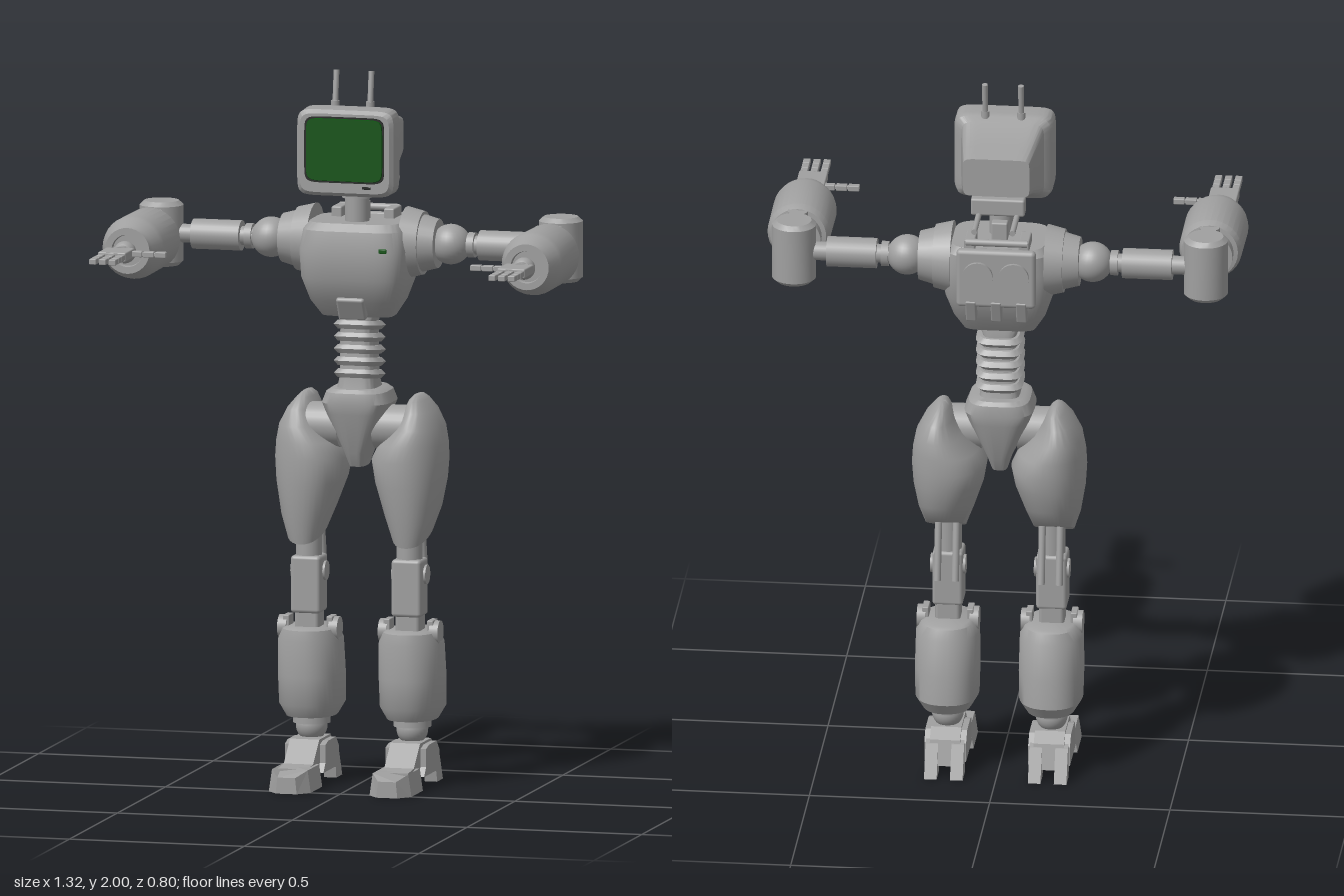
import * as THREE from 'three';
import { toCreasedNormals } from 'three/addons/utils/BufferGeometryUtils.js';
import { RoundedBoxGeometry } from 'three/addons/geometries/RoundedBoxGeometry.js';

const mat = (name, color) => Object.assign(new THREE.MeshStandardMaterial({ color }), { name });

// Closed loft of superellipse rings [y, x0, x1, z0, z1, slope in z], bottom to top
function loft(rings, n = 2, seg = 32, crease = 0.6) {
  const pos = [], idx = [];
  const pw = v => Math.sign(v) * Math.pow(Math.abs(v), 2 / n);
  for (const [y, x0, x1, z0, z1, slope = 0] of rings)
    for (let i = 0; i < seg; i++) {
      const t = (i + 0.5) / seg * Math.PI * 2;
      const dz = pw(Math.sin(t)) * (z1 - z0) / 2;
      pos.push((x0 + x1) / 2 + pw(Math.cos(t)) * (x1 - x0) / 2, y + slope * dz, (z0 + z1) / 2 + dz);
    }
  const last = (rings.length - 1) * seg;
  for (const r of [rings[0], rings[rings.length - 1]]) pos.push((r[1] + r[2]) / 2, r[0], (r[3] + r[4]) / 2);
  const c0 = last + seg, c1 = c0 + 1;
  for (let i = 0; i < seg; i++) {
    const j = (i + 1) % seg;
    for (let k = 0; k < last; k += seg) idx.push(k + i, k + seg + i, k + j, k + j, k + seg + i, k + seg + j);
    idx.push(c0, i, j, c1, last + j, last + i);
  }
  const g = new THREE.BufferGeometry();
  g.setAttribute('position', new THREE.Float32BufferAttribute(pos, 3));
  g.setIndex(idx);
  return toCreasedNormals(g, crease);
}

// Turned part from [radius, height] points, with crisp edges
const turned = pts => toCreasedNormals(new THREE.LatheGeometry(pts.map(p => new THREE.Vector2(...p)), 32), 0.4);

export function createModel() {
  const metal = mat('grey metal', 0xa0a0a0);
  const glass = mat('green screen', 0x0a520e);
  const dark = mat('dark trim', 0x252825);
  const root = new THREE.Group();
  root.name = 'robot';

  const add = (parent, name, geo, x = 0, y = 0, z = 0, m = metal) => {
    const mesh = new THREE.Mesh(geo, m);
    mesh.name = name;
    mesh.position.set(x, y, z);
    parent.add(mesh);
    return mesh;
  };
  const box = (p, name, w, h, d, x, y, z, m, r = Math.min(w, h, d) * 0.15) =>
    add(p, name, new RoundedBoxGeometry(w, h, d, 2, r), x, y, z, m);
  const cyl = (p, name, r, len, axis, x, y, z, r2 = r) => {
    const g = new THREE.CylinderGeometry(r2, r, len, 28);
    if (axis === 'x') g.rotateZ(-Math.PI / 2);
    if (axis === 'z') g.rotateX(Math.PI / 2);
    return add(p, name, g, x, y, z);
  };
  const ball = (p, name, r, x, y, z) => add(p, name, new THREE.SphereGeometry(r, 28, 18), x, y, z);

  // Head: monitor housing lofted from back to front, [z, half width, bottom, top]
  const head = new THREE.Group();
  head.name = 'head';
  root.add(head);
  const shell = rows => loft(rows.map(([z, w, b, t]) => [z, -w, w, -t, -b]), 9, 64).rotateX(Math.PI / 2);
  add(head, 'monitorHousing', shell([
    [-0.325, 0.092, 1.74, 1.85], [-0.265, 0.1, 1.722, 1.864], [-0.15, 0.115, 1.672, 1.888],
    [-0.135, 0.132, 1.66, 1.9], [-0.115, 0.138, 1.66, 1.903], [-0.055, 0.138, 1.66, 1.9], [-0.044, 0.128, 1.67, 1.89]]));
  add(head, 'screenFrame', shell([[-0.046, 0.114, 1.698, 1.882], [-0.041, 0.114, 1.698, 1.882]]), 0, 0, 0, dark);
  add(head, 'screen', shell([[-0.043, 0.11, 1.702, 1.878], [-0.037, 0.108, 1.704, 1.876]]), 0, 0, 0, glass);
  box(head, 'powerButton', 0.024, 0.007, 0.008, 0.063, 1.686, -0.044, dark);
  box(head, 'neckMount', 0.15, 0.05, 0.045, 0, 1.69, -0.265);
  for (const s of [-1, 1]) {
    cyl(head, 'antenna', 0.008, 0.11, 'y', s * 0.05, 1.944, -0.137).rotation.x = -0.14;
    cyl(head, 'antennaBase', 0.012, 0.02, 'y', s * 0.05, 1.905, -0.131);
    cyl(head, 'rearRod', 0.008, 0.145, 'z', s * 0.053, 1.665, -0.332);
  }
  cyl(root, 'neck', 0.034, 0.14, 'y', 0, 1.61, -0.178);
  cyl(root, 'neckCollar', 0.042, 0.03, 'y', 0, 1.655, -0.178);
  box(root, 'neckBrace', 0.045, 0.07, 0.03, 0, 1.59, -0.225);

  // Torso
  add(root, 'torso', loft([
    [1.31, -0.1, 0.1, -0.255, -0.15], [1.355, -0.128, 0.128, -0.285, -0.11], [1.42, -0.15, 0.15, -0.315, -0.082],
    [1.5, -0.155, 0.155, -0.325, -0.075], [1.555, -0.145, 0.145, -0.325, -0.085], [1.575, -0.13, 0.13, -0.31, -0.105]], 4.5, 48));
  box(root, 'bellyPanel', 0.08, 0.07, 0.05, 0, 1.345, -0.133).rotation.x = 0.5;
  box(root, 'chestLight', 0.022, 0.011, 0.008, 0.1, 1.506, -0.077, glass);

  // Back pack with two round vents and lower pipes
  box(root, 'backPanel', 0.22, 0.17, 0.03, 0, 1.495, -0.322, metal, 0.012);
  for (const s of [-1, 1]) {
    cyl(root, 'backVent', 0.042, 0.02, 'z', s * 0.05, 1.505, -0.337);
    box(root, 'topRail', 0.03, 0.035, 0.08, s * 0.075, 1.585, -0.275);
  }
  cyl(root, 'backHandle', 0.01, 0.17, 'x', 0, 1.595, -0.31);
  for (const x of [-0.07, 0, 0.07]) {
    box(root, 'backPipe', 0.03, 0.07, 0.035, x, 1.4, -0.312).rotation.x = -0.35;
  }

  // Ribbed waist
  add(root, 'waistCore', loft([[1.09, -0.06, 0.06, -0.27, -0.14], [1.14, -0.05, 0.05, -0.255, -0.15],
    [1.29, -0.048, 0.048, -0.255, -0.15], [1.32, -0.06, 0.06, -0.25, -0.155]], 4));
  for (let i = 0; i < 5; i++) {
    const y = 1.145 + i * 0.034;
    add(root, 'waistRib', loft([[y - 0.012, -0.055, 0.055, -0.262, -0.145, 0.12], [y, -0.066, 0.066, -0.272, -0.138, 0.12],
      [y + 0.012, -0.055, 0.055, -0.262, -0.145, 0.12]], 4));
  }

  // Pelvis
  add(root, 'pelvis', loft([[0.89, -0.022, 0.022, -0.25, -0.16], [0.93, -0.035, 0.035, -0.27, -0.14],
    [1.04, -0.085, 0.085, -0.3, -0.112], [1.07, -0.097, 0.097, -0.305, -0.105], [1.1, -0.085, 0.085, -0.3, -0.11],
    [1.11, -0.07, 0.07, -0.29, -0.12]], 3.5, 40));

  // One side of the limbs, built for the left and mirrored to the right
  const limbs = new THREE.Group();
  limbs.name = 'leftLimbs';
  const arm = new THREE.Group(), leg = new THREE.Group();
  arm.name = 'arm';
  leg.name = 'leg';
  limbs.add(arm, leg);

  // Shoulder and upper arm
  const ay = 1.513, az = -0.22, ex = 0.571;
  cyl(arm, 'shoulderSocket', 0.1, 0.05, 'x', 0.155, ay, az, 0.088);
  cyl(arm, 'shoulderRing', 0.08, 0.045, 'x', 0.2, ay, az, 0.068);
  ball(arm, 'shoulderBall', 0.056, 0.257, ay, az);
  cyl(arm, 'upperArmNeck', 0.026, 0.06, 'x', 0.325, ay, az);
  cyl(arm, 'upperArmRing', 0.035, 0.02, 'x', 0.318, ay, az);
  cyl(arm, 'upperArm', 0.042, 0.138, 'x', 0.41, ay, az);
  cyl(arm, 'elbowLink', 0.026, 0.06, 'x', 0.495, ay, az);
  add(arm, 'elbow', turned([[0, -0.09], [0.048, -0.09], [0.061, -0.078], [0.061, 0.078], [0.048, 0.09], [0, 0.09]]), ex, ay, az);

  // Forearm, turned along z
  add(arm, 'forearm', turned([[0, -0.15], [0.066, -0.15], [0.066, -0.118], [0.078, -0.116], [0.087, -0.095], [0.088, 0.07],
    [0.084, 0.09], [0.068, 0.125], [0.064, 0.14], [0.045, 0.14], [0.043, 0.128], [0, 0.128]]).rotateX(Math.PI / 2), ex, ay, 0);
  cyl(arm, 'forearmPin', 0.028, 0.15, 'y', ex, ay, -0.12);
  ball(arm, 'wristBall', 0.031, ex, ay, 0.164);
  cyl(arm, 'wrist', 0.022, 0.09, 'z', ex, ay, 0.17);

  // Hand with three jointed fingers and a thumb
  add(arm, 'palm', loft([[-0.012, -0.024, 0.024, 0.19, 0.3], [0.012, -0.024, 0.024, 0.19, 0.3]], 8), ex, ay + 0.006, 0);
  box(arm, 'palmPlate', 0.08, 0.026, 0.095, ex, ay + 0.006, 0.253);
  const chain = (name, x, z, dx, dz) => {
    for (let k = 0; k < 3; k++) {
      const d = 0.016 + k * 0.034;
      box(arm, name, dx ? 0.031 : 0.02, 0.016, dx ? 0.02 : 0.031, x + dx * d, ay + 0.006, z + dz * d);
    }
    const d = 0.05;
    box(arm, name + 'Core', dx ? 0.09 : 0.012, 0.01, dx ? 0.012 : 0.09, x + dx * d, ay + 0.006, z + dz * d);
  };
  for (const o of [-0.028, 0, 0.028]) chain('finger', ex + o, 0.3, 0, 1);
  chain('thumb', 0.535, 0.223, -1, 0);

  // Hip and thigh shell, cut on a slant at the bottom
  cyl(leg, 'hipJoint', 0.062, 0.1, 'x', 0.1, 1.0, -0.2);
  ball(leg, 'hipBall', 0.058, 0.135, 0.995, -0.195);
  add(leg, 'thigh', loft([
    [0.715, 0.095, 0.205, -0.312, -0.13, -0.48], [0.77, 0.073, 0.224, -0.335, -0.117, -0.3],
    [0.85, 0.045, 0.238, -0.354, -0.106, -0.1], [0.91, 0.034, 0.242, -0.36, -0.103],
    [0.955, 0.055, 0.239, -0.359, -0.108], [1.0, 0.098, 0.23, -0.352, -0.118], [1.045, 0.125, 0.207, -0.335, -0.14],
    [1.075, 0.138, 0.182, -0.31, -0.17], [1.088, 0.15, 0.168, -0.28, -0.2]], 2.2, 40, 1));

  // Knee with rear pistons
  const lx = 0.144;
  cyl(leg, 'thighStrut', 0.036, 0.17, 'y', lx, 0.69, -0.2);
  box(leg, 'knee', 0.085, 0.16, 0.085, lx, 0.555, -0.2, metal, 0.01);
  cyl(leg, 'kneePin', 0.027, 0.098, 'x', lx, 0.59, -0.21);
  box(leg, 'kneeLower', 0.07, 0.1, 0.07, lx, 0.46, -0.205);
  for (const s of [-1, 1]) {
    cyl(leg, 'piston', 0.01, 0.2, 'y', lx + s * 0.025, 0.66, -0.25).rotation.x = 0.2;
    cyl(leg, 'shinPivot', 0.033, 0.025, 'x', lx + s * 0.073, 0.43, -0.21);
    box(leg, 'shinBracket', 0.018, 0.07, 0.05, lx + s * 0.062, 0.43, -0.21);
  }

  // Shin
  add(leg, 'shin', loft([
    [0.185, 0.076, 0.212, -0.325, -0.145], [0.22, 0.056, 0.232, -0.35, -0.124], [0.3, 0.054, 0.234, -0.342, -0.12],
    [0.4, 0.056, 0.232, -0.322, -0.12], [0.43, 0.07, 0.218, -0.31, -0.124], [0.436, 0.08, 0.208, -0.3, -0.135]], 2.3, 40));
  cyl(leg, 'shinCollar', 0.052, 0.025, 'y', lx, 0.175, -0.23);
  ball(leg, 'ankleBall', 0.044, lx, 0.155, -0.228);

  // Foot: side profile given as [z, y], extruded across the width
  const side = (name, pts, width, x) => {
    const shape = new THREE.Shape(pts.map(([z, y]) => new THREE.Vector2(-z, y)));
    const g = new THREE.ExtrudeGeometry(shape, { depth: width, bevelEnabled: false });
    g.translate(0, 0, -width / 2).rotateY(Math.PI / 2);
    add(leg, name, g, x);
  };
  side('instep', [[-0.03, 0.02], [-0.03, 0.06], [-0.09, 0.065], [-0.155, 0.125], [-0.27, 0.125], [-0.305, 0.1],
    [-0.325, 0.03], [-0.12, 0.03], [-0.09, 0.01]], 0.084, lx);
  side('anklePlate', [[-0.16, 0.06], [-0.16, 0.11], [-0.19, 0.118], [-0.27, 0.118], [-0.3, 0.09], [-0.3, 0.035], [-0.14, 0.035]], 0.116, lx);
  for (const s of [-1, 1])
    side('heelProng', [[-0.25, 0.04], [-0.285, 0.1], [-0.31, 0.09], [-0.352, 0], [-0.29, 0], [-0.285, 0.03]], 0.035, lx + s * 0.036);
  const toe = new THREE.Shape([[-0.06, 0.12], [0.06, 0.12], [0.06, 0], [0.03, -0.038], [-0.03, -0.038], [-0.06, 0]]
    .map(p => new THREE.Vector2(...p)).reverse());
  const toeGeo = new THREE.ExtrudeGeometry(toe, { depth: 0.052, bevelEnabled: false }).rotateX(-Math.PI / 2);
  const tp = toeGeo.attributes.position;
  for (let i = 0; i < tp.count; i++) // slope the upper face to the tip
    if (tp.getY(i) > 0.03) tp.setXYZ(i, tp.getX(i) * 0.85, tp.getZ(i) > 0.02 ? 0.045 : 0.062, tp.getZ(i));
  toeGeo.computeVertexNormals();
  add(leg, 'toe', toeGeo, lx);

  root.add(limbs);
  const right = limbs.clone();
  right.name = 'rightLimbs';
  right.scale.x = -1;
  root.add(right);
  return root;
}
